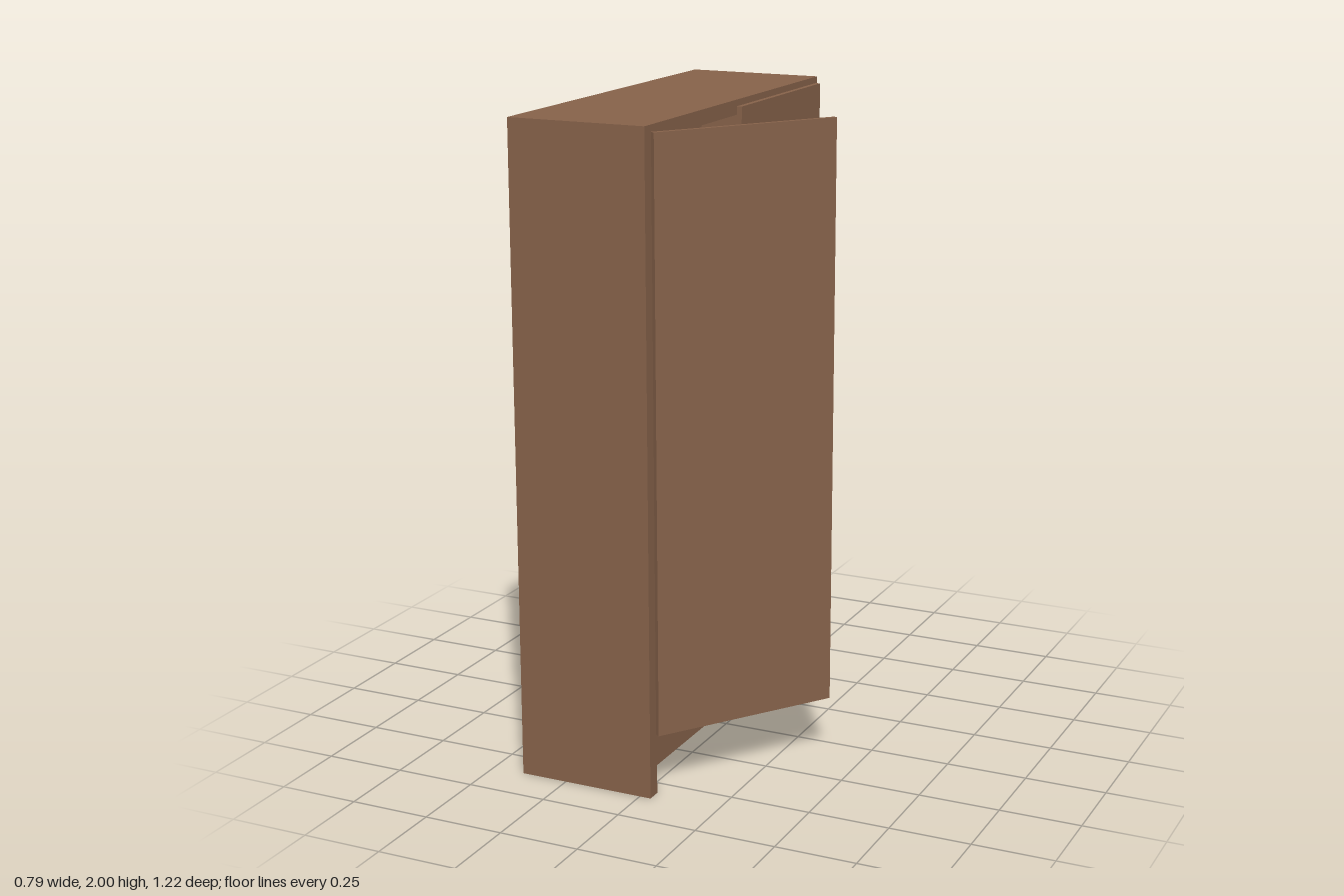
import * as THREE from 'three';

export function createModel() {
  const wardrobe = new THREE.Group();
  wardrobe.name = 'wardrobe';
  const wood = new THREE.MeshStandardMaterial({ color: 0x86624a });
  const metal = new THREE.MeshStandardMaterial({ color: 0x7b8790 });

  // Box given by its lower and upper limits on each axis
  const box = (name, [x0, x1], [y0, y1], [z0, z1]) => {
    const mesh = new THREE.Mesh(new THREE.BoxGeometry(x1 - x0, y1 - y0, z1 - z0), wood);
    mesh.position.set((x0 + x1) / 2, (y0 + y1) / 2, (z0 + z1) / 2);
    mesh.name = name;
    wardrobe.add(mesh);
    return mesh;
  };

  const back = -0.397, front = 0.036, half = 0.61, t = 0.045;
  const inner = half - t, kickHeight = 0.17;

  // Carcass, open towards +x
  box('sidePanelLeft', [back, front], [0, 2], [inner, half]);
  box('sidePanelRight', [back, front], [0, 2], [-half, -inner]);
  box('topPanel', [back, front], [2 - t, 2], [-inner, inner]);
  box('backPanel', [back, back + t], [kickHeight + t, 2 - t], [-inner, inner]);
  box('floorPanel', [back, front], [kickHeight, kickHeight + t], [-inner, inner]);
  // Solid plinth with a recessed toe kick
  box('plinth', [back, -0.055], [0, kickHeight], [-inner, inner]);

  // Doors: one closed, one swung open
  const doorY = [0.19, 1.98], doorT = 0.016;
  box('closedDoor', [front, front + doorT], doorY, [-0.597, 0.003]);
  const openDoor = box('openDoor', [-doorT / 2, doorT / 2], doorY, [-0.299, 0.299]);
  openDoor.position.x = 0.215;
  openDoor.position.z = 0.331;
  openDoor.rotation.y = -Math.atan2(0.3435, 0.49);

  // Hanging rail between the sides
  const rail = new THREE.Mesh(new THREE.CylinderGeometry(0.018, 0.018, inner * 2, 24), metal);
  rail.rotation.x = Math.PI / 2;
  rail.position.set(-0.17, 1.66, 0);
  rail.name = 'hangingRail';
  wardrobe.add(rail);

  return wardrobe;
}
